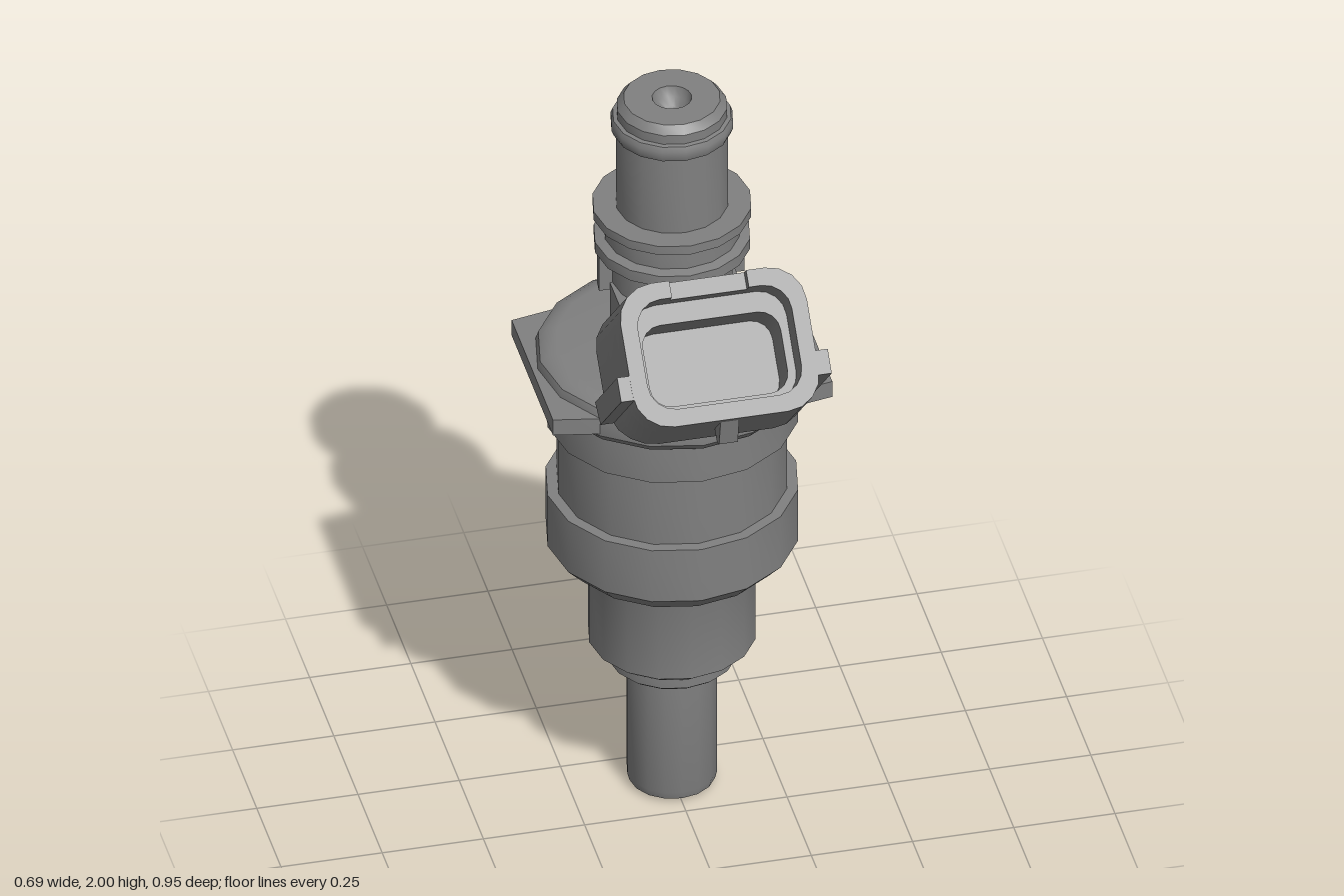
import * as THREE from 'three';
import { toCreasedNormals } from 'three/addons/utils/BufferGeometryUtils.js';
import { ConvexGeometry } from 'three/addons/geometries/ConvexGeometry.js';

const AXIS_Z = -0.145; // the turned body stands behind the centre
const vec = ([x, y]) => new THREE.Vector2(x, y);

// Rounded rectangle, counter-clockwise from the top left to the top right
function roundedRect(hw, hh, r, dy = 0) {
  const pts = [];
  [[-1, 1], [-1, -1], [1, -1], [1, 1]].forEach(([sx, sy], i) => {
    for (let k = 0; k <= 4; k++) {
      const a = ((i + 1 + k / 4) * Math.PI) / 2;
      pts.push([sx * (hw - r) + r * Math.cos(a), dy + sy * (hh - r) + r * Math.sin(a)]);
    }
  });
  // the last corner sweeps from 0 to 90 degrees
  return pts;
}

function extrude(outline, depth, hole) {
  const shape = new THREE.Shape(outline.map(vec));
  if (hole) shape.holes.push(new THREE.Path(hole.map(vec)));
  return new THREE.ExtrudeGeometry(shape, { depth, bevelEnabled: false });
}

// Side profile given as [z, y], extruded between x0 and x1
function sideProfile(points, x0, x1) {
  return extrude(points, x1 - x0).rotateY(-Math.PI / 2).translate(x1, 0, 0);
}

export function createModel() {
  const model = new THREE.Group();
  model.name = 'fuelInjector';
  const grey = new THREE.MeshStandardMaterial({ color: 0x808080 });
  grey.name = 'grey';

  function add(name, geometry, parent = model) {
    const mesh = new THREE.Mesh(toCreasedNormals(geometry, 0.6), grey);
    mesh.name = name;
    parent.add(mesh);
    return mesh;
  }
  function lathe(name, profile) {
    add(name, new THREE.LatheGeometry(profile.map(vec), 16)).position.z = AXIS_Z;
  }

  // Nozzle and lower collar
  lathe('nozzle', [[0, 0], [0.09, 0], [0.105, 0.01], [0.11, 0.03], [0.11, 0.36],
    [0.145, 0.36], [0.157, 0.37], [0.157, 0.4], [0.165, 0.4], [0.204, 0.43],
    [0.204, 0.64], [0.212, 0.665], [0.212, 0.68]]);

  // Main housing with the rounded flange
  lathe('housing', [[0.2, 0.67], [0.24, 0.67], [0.265, 0.685], [0.307, 0.73], [0.307, 0.88],
    [0.28, 0.88], [0.28, 1.08], [0.307, 1.08], [0.307, 1.18], [0.318, 1.185],
    [0.333, 1.205], [0.333, 1.25], [0.325, 1.275], [0.305, 1.288], [0.28, 1.292], [0.1, 1.292]]);

  // Inlet tube with two collars, a seal ring and a bored top
  lathe('inletTube', [[0.147, 1.28], [0.147, 1.575], [0.19, 1.575], [0.19, 1.605],
    [0.165, 1.61], [0.165, 1.665], [0.193, 1.67], [0.193, 1.695], [0.136, 1.695],
    [0.136, 1.91], [0.144, 1.912], [0.149, 1.925], [0.149, 1.94], [0.144, 1.953],
    [0.134, 1.955], [0.134, 1.98], [0.117, 2], [0.048, 2], [0.04, 1.975], [0.022, 1.957], [0, 1.95]]);

  // Half sleeve on the back of the tube
  const half = new THREE.Shape();
  half.absarc(0, 0, 0.18, 0, Math.PI, false);
  add('backSleeve', new THREE.ExtrudeGeometry(half, { depth: 0.12, bevelEnabled: false, curveSegments: 8 })
    .rotateX(-Math.PI / 2).translate(0, 1.46, AXIS_Z));

  // Flat ears either side of the flange
  add('flangeEars', extrude([[-0.345, -0.07], [-0.23, -0.092], [0.23, -0.092], [0.345, -0.07],
    [0.345, 0.357], [0.23, 0.38], [-0.23, 0.38], [-0.345, 0.357]], 0.045)
    .rotateX(-Math.PI / 2).translate(0, 1.21, 0));

  // Gusset joining tube and socket
  add('socketBase', sideProfile([[AXIS_Z, 1.28], [0.148, 1.28], [0.148, 1.34], [0, 1.48], [AXIS_Z, 1.48]], -0.153, 0.153));

  // Plug socket, tilted 45 degrees; local z runs along its axis
  const socket = new THREE.Group();
  socket.name = 'plugSocket';
  socket.position.set(0, 1.3525, 0.0975);
  socket.rotation.x = -Math.PI / 4;
  model.add(socket);

  const H = 0.177, floor = 0.157;
  const outer = roundedRect(0.23, H, 0.09);
  const inner = roundedRect(0.19, H - 0.042, 0.065);
  const cavity = roundedRect(0.17, 0.1, 0.05, -0.015);

  // Solid rear, its lower edge cut off level
  const rear = [new THREE.Vector3(-0.23, -0.046, 0), new THREE.Vector3(0.23, -0.046, 0)];
  for (const [x, y] of outer) {
    rear.push(new THREE.Vector3(x, y, Math.max(0, -0.046 - y)), new THREE.Vector3(x, y, floor));
  }
  add('socketRear', new ConvexGeometry(rear), socket);
  add('socketLedge', extrude(outer, 0.12, cavity).translate(0, 0, floor), socket);
  add('socketWall', extrude(outer, 0.05, inner).translate(0, 0, 0.277), socket);

  // Rim, open at the top for the key notch
  const top = H - 0.042;
  add('socketRim', extrude([[-0.095, H], ...outer, [0.095, H], [0.095, top],
    ...[...inner].reverse(), [-0.095, top]], 0.03).translate(0, 0, 0.327), socket);

  // Side ribs and the latch wedge beneath
  const rib = [[0.15, 1.348], [0.206, 1.32], [0.42, 1.534], [0.378, 1.577]];
  add('leftRib', sideProfile(rib, 0.22, 0.26));
  add('rightRib', sideProfile(rib, -0.26, -0.22));
  add('latchWedge', sideProfile([[0.455, 1.46], [0.38, 1.41], [0.42, 1.375], [0.44, 1.385]], -0.023, 0.023));

  return model;
}
